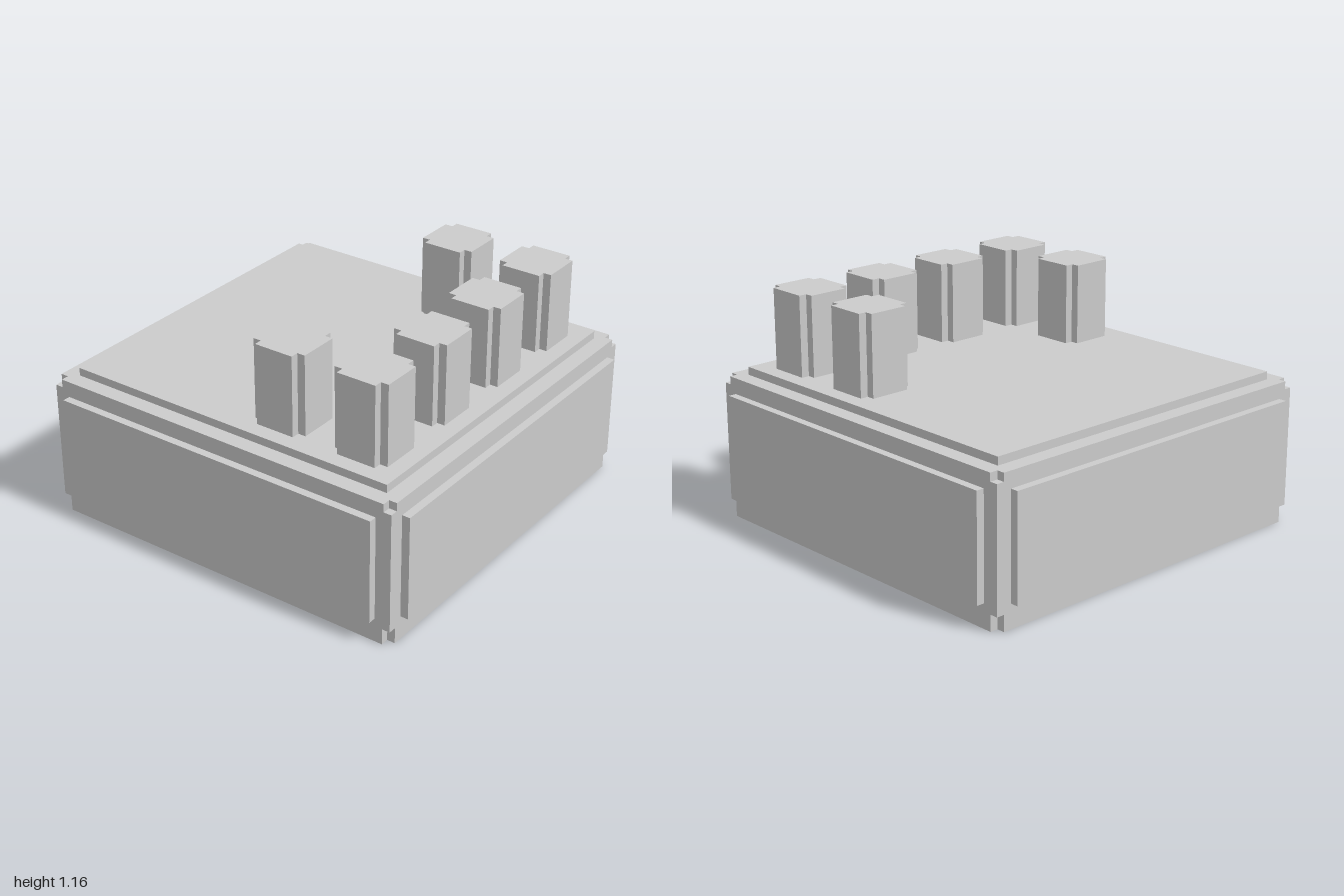
import * as THREE from 'three';

const material = new THREE.MeshStandardMaterial({ color: 0xcccccc, flatShading: true });

function add(parent, name, geometry, x, y, z) {
  const mesh = new THREE.Mesh(geometry, material);
  mesh.name = name;
  mesh.position.set(x, y, z);
  parent.add(mesh);
  return mesh;
}

// Upright square prism with a small square notch cut from each corner, base at y = 0
function notchedPrism(half, notch, height) {
  const a = half, b = half - notch;
  const outline = [
    [b, -a], [b, -b], [a, -b], [a, b], [b, b], [b, a],
    [-b, a], [-b, b], [-a, b], [-a, -b], [-b, -b], [-b, -a],
  ].map(([x, y]) => new THREE.Vector2(x, y));
  return new THREE.ExtrudeGeometry(new THREE.Shape(outline), { depth: height, bevelEnabled: false })
    .rotateX(-Math.PI / 2);
}

export function createModel() {
  const model = new THREE.Group();
  model.name = 'studdedBlock';

  // Body: full-width core between layers with notched corners
  const body = new THREE.Group();
  body.name = 'body';
  model.add(body);
  add(body, 'bodyBase', notchedPrism(0.96, 0.04, 0.08), 0, 0, 0);
  add(body, 'bodyCore', new THREE.BoxGeometry(1.92, 0.6, 1.92), 0, 0.38, 0);
  add(body, 'bodyRim', notchedPrism(0.96, 0.04, 0.04), 0, 0.68, 0);

  // Raised panels on the top and the four sides
  add(model, 'topPanel', new THREE.BoxGeometry(1.76, 0.04, 1.76), 0, 0.74, 0);
  ['frontPanel', 'leftPanel', 'backPanel', 'rightPanel'].forEach((name, i) => {
    const angle = i * Math.PI / 2;
    const panel = add(model, name, new THREE.BoxGeometry(1.76, 0.52, 0.04),
      0.98 * Math.sin(angle), 0.38, 0.98 * Math.cos(angle));
    panel.rotation.y = angle;
  });

  // Studs: a row of four along the front and one behind each end
  const stud = notchedPrism(0.14, 0.04, 0.4);
  for (const side of [-1, 1]) {
    for (const [x, z] of [[0.22, 0.66], [0.66, 0.66], [0.66, 0.22]]) {
      add(model, 'stud', stud, side * x, 0.76, z);
    }
  }
  return model;
}
